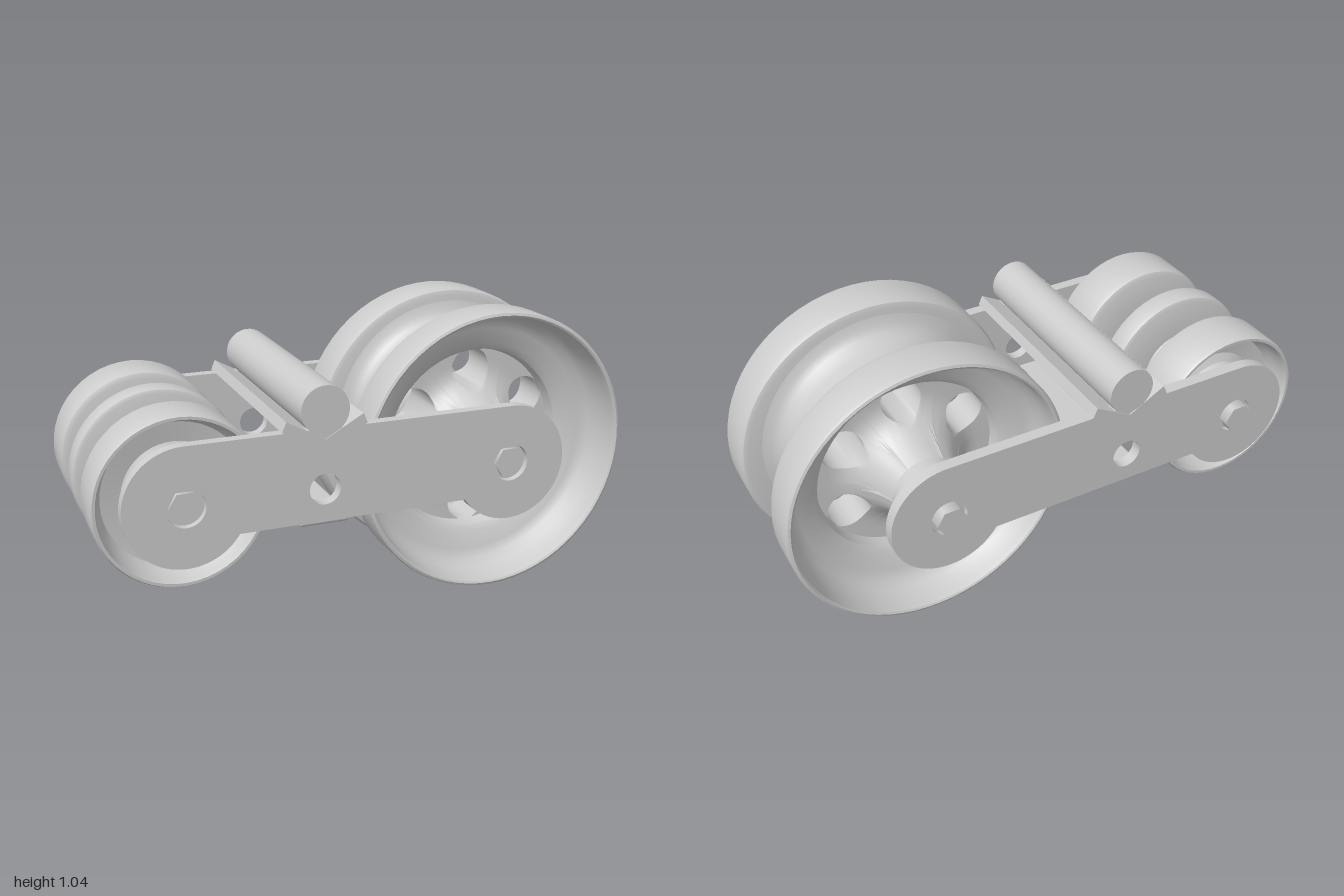
import * as THREE from 'three';
import { toCreasedNormals } from 'three/addons/utils/BufferGeometryUtils.js';
import { ParametricGeometry } from 'three/addons/geometries/ParametricGeometry.js';
import { RoundedBoxGeometry } from 'three/addons/geometries/RoundedBoxGeometry.js';

const grey = new THREE.MeshStandardMaterial({ color: 0xcccccc });
const thin = new THREE.MeshStandardMaterial({ color: 0xcccccc, side: THREE.DoubleSide });
const AXLE_Y = 0.525, BIG_X = 0.475, SMALL_X = -0.7, MID_X = -0.225;

function add(parent, name, geometry, x = 0, y = 0, z = 0, material = grey) {
  const mesh = new THREE.Mesh(geometry, material);
  mesh.name = name;
  mesh.position.set(x, y, z);
  parent.add(mesh);
  return mesh;
}

// Turned shape around the z axis from [radius, z] pairs
function turned(points, segments = 48) {
  const g = new THREE.LatheGeometry(points.map(p => new THREE.Vector2(...p)), segments);
  return toCreasedNormals(g.rotateX(Math.PI / 2), 0.6);
}

// Straight bar along z between two depths
function bar(radius, z0, z1, sides = 32) {
  return new THREE.CylinderGeometry(radius, radius, z1 - z0, sides)
    .rotateX(Math.PI / 2).translate(0, 0, (z0 + z1) / 2);
}

function extruded(shape, z0, z1) {
  return new THREE.ExtrudeGeometry(shape, { depth: z1 - z0, bevelEnabled: false, curveSegments: 32 })
    .translate(0, 0, z0);
}

// Half thickness of the trumpet-shaped web at a radius
function webHalf(r) {
  const k = THREE.MathUtils.clamp((0.3 - r) / 0.19, 0, 1);
  return 0.075 + 0.24 * k * k * k;
}

// One 60 degree sector of the web, wrapped from back to front through its hole
function webSector() {
  const rMin = 0.11, rMax = 0.345, holeAt = 0.265, holeR = 0.075;
  const g = new ParametricGeometry((u, v, target) => {
    const t = u * Math.PI * 2, c = Math.cos(t), s = Math.sin(t);
    const m = Math.max(Math.abs(c), Math.abs(s));
    const edgeR = (rMin + rMax) / 2 + (c / m) * (rMax - rMin) / 2;
    const edgeA = (s / m) * Math.PI / 6;
    const hx = holeAt + holeR * c, hy = holeR * s;
    const row = Math.round(v * 13);
    const out = row < 7 ? 1 - row / 6 : (row - 7) / 6;
    const r = THREE.MathUtils.lerp(Math.hypot(hx, hy), edgeR, out);
    const a = THREE.MathUtils.lerp(Math.atan2(hy, hx), edgeA, out);
    target.set(r * Math.cos(a), r * Math.sin(a), webHalf(r) * (row < 7 ? -1 : 1));
  }, 32, 13);
  return toCreasedNormals(g, 0.9);
}

function bigWheel() {
  const wheel = new THREE.Group();
  wheel.name = 'bigWheel';
  wheel.position.set(BIG_X, AXLE_Y, 0.022);
  const flange = turned([
    [0.335, 0.065], [0.36, 0.13], [0.4, 0.135], [0.495, 0.135], [0.512, 0.142], [0.52, 0.162],
    [0.52, 0.292], [0.516, 0.302], [0.507, 0.306], [0.5, 0.302], [0.495, 0.28], [0.485, 0.2],
    [0.465, 0.17], [0.43, 0.152], [0.37, 0.14], [0.345, 0.12], [0.335, 0.065]], 64);
  add(wheel, 'frontFlange', flange);
  add(wheel, 'backFlange', flange).rotation.y = Math.PI;
  // Groove barrel sits a little above the axle line
  const half = [[0.37, 0.05], [0.376, 0.08], [0.39, 0.108], [0.415, 0.126], [0.45, 0.137]];
  const groove = [...half.map(([r, z]) => [r, -z]).reverse(), ...half];
  add(wheel, 'groove', turned(groove, 64), 0, 0.03, 0, thin);
  const sector = webSector();
  for (let i = 0; i < 6; i++)
    add(wheel, 'webSector', sector, 0, 0, 0, thin).rotation.z = Math.PI / 6 + i * Math.PI / 3;
  add(wheel, 'hub', turned([[0, -0.352], [0.115, -0.352], [0.128, -0.335], [0.128, 0.335],
    [0.115, 0.352], [0, 0.352]]));
  return wheel;
}

function smallWheel() {
  const wheel = new THREE.Group();
  wheel.name = 'smallWheel';
  wheel.position.set(SMALL_X, AXLE_Y, 0.012);
  const rim = turned([
    [0.13, 0.18], [0.275, 0.18], [0.292, 0.188], [0.298, 0.205], [0.298, 0.355], [0.292, 0.367],
    [0.282, 0.367], [0.276, 0.35], [0.268, 0.3], [0.25, 0.275], [0.18, 0.265], [0.15, 0.28],
    [0.14, 0.36], [0.13, 0.366], [0, 0.366]]);
  add(wheel, 'frontRim', rim);
  add(wheel, 'backRim', rim).rotation.y = Math.PI;
  const core = [[0.145, 0.03], [0.145, 0.08], [0.133, 0.1], [0.133, 0.155], [0.145, 0.19]];
  add(wheel, 'core', turned([...core.map(([r, z]) => [r, -z]).reverse(), ...core]), 0, 0, 0, thin);
  add(wheel, 'centreRing', turned([[0.13, -0.048], [0.28, -0.048], [0.293, -0.042], [0.298, -0.028],
    [0.298, 0.028], [0.293, 0.042], [0.28, 0.048], [0.13, 0.048]]));
  return wheel;
}

// Side plate: a bar joining two round ends, flush along the top
function plateShape() {
  const R = 0.21, low = -0.115, a = Math.asin(low / R);
  const s = new THREE.Shape();
  s.moveTo(BIG_X, AXLE_Y + R);
  s.lineTo(SMALL_X, AXLE_Y + R);
  s.absarc(SMALL_X, AXLE_Y, R, Math.PI / 2, Math.PI * 2 + a, false);
  s.lineTo(BIG_X - R * Math.cos(a), AXLE_Y + low);
  s.absarc(BIG_X, AXLE_Y, R, Math.PI - a, Math.PI * 2.5, false);
  for (const [x, r] of [[SMALL_X, 0.067], [BIG_X, 0.067], [MID_X, 0.055]])
    s.holes.push(new THREE.Path().absarc(x, AXLE_Y, r, 0, Math.PI * 2, true));
  return s;
}

export function createModel() {
  const model = new THREE.Group();
  model.add(bigWheel(), smallWheel());

  const plate = plateShape();
  add(model, 'frontPlate', extruded(plate, 0.386, 0.427));
  add(model, 'backPlate', extruded(plate, -0.404, -0.361));

  // Axles, washers and hex bolts
  for (const x of [SMALL_X, BIG_X]) {
    add(model, 'axle', bar(0.066, -0.385, 0.405), x, AXLE_Y);
    add(model, 'hexBolt', bar(0.056, -0.43, 0.42, 6).rotateZ(Math.PI / 6), x, AXLE_Y);
  }
  add(model, 'spacer', bar(0.1, -0.361, 0.386), BIG_X, AXLE_Y);

  // Cradle and roller above the plates
  const v = new THREE.Shape([[-0.15, 0.74], [0, 0.67], [0.15, 0.74], [0.135, 0.775],
    [0, 0.7], [-0.135, 0.775]].map(p => new THREE.Vector2(...p)));
  add(model, 'cradle', extruded(v, -0.408, 0.43), MID_X);
  add(model, 'roller', bar(0.085, -0.41, 0.432, 40), MID_X, 0.8);

  // Lower cross plate between the arms
  add(model, 'crossPlate', new RoundedBoxGeometry(0.18, 0.035, 0.81, 2, 0.012), MID_X, 0.41, 0.012);
  return model;
}
